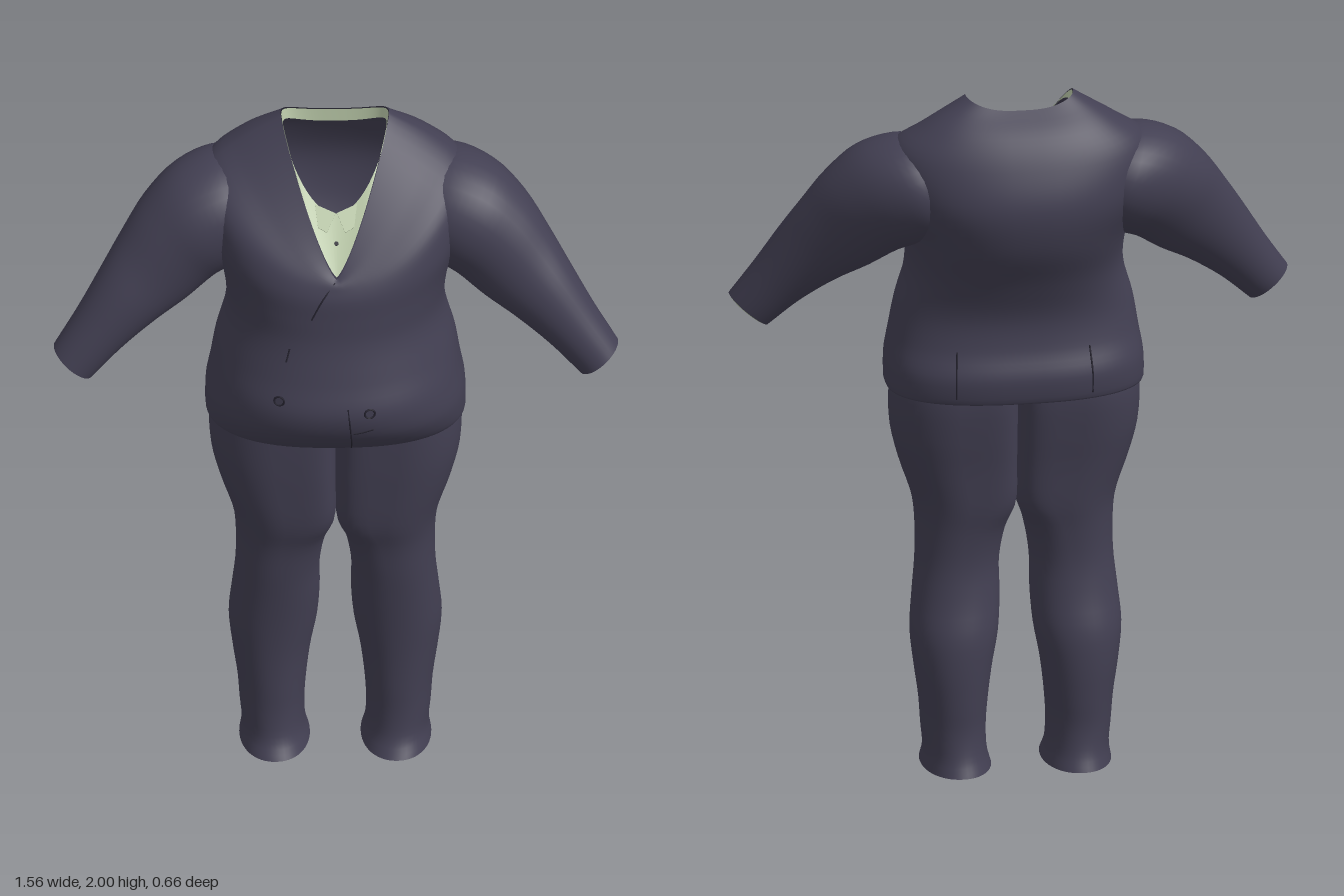
import * as THREE from 'three';

const suit = new THREE.MeshStandardMaterial({ color: 0x423f52, side: THREE.DoubleSide });
suit.name = 'dark suit cloth';
const linen = new THREE.MeshStandardMaterial({ color: 0xbccbaa, side: THREE.DoubleSide });
linen.name = 'pale green shirt';
const thread = new THREE.MeshStandardMaterial({ color: 0x25232f });
thread.name = 'dark seam';

const V = (x, y, z) => new THREE.Vector3(x, y, z);
const spow = (v, e) => Math.sign(v) * Math.pow(Math.abs(v), e);

function mesh(name, geometry, material) {
  const m = new THREE.Mesh(geometry, material);
  m.name = name;
  return m;
}

// Skin over closed rings of equal length
function loft(rings) {
  const n = rings[0].length, index = [];
  for (let i = 0; i < rings.length - 1; i++) {
    for (let j = 0; j < n; j++) {
      const k = (j + 1) % n, a = i * n + j, b = i * n + k;
      index.push(a, b, b + n, a, b + n, a + n);
    }
  }
  const g = new THREE.BufferGeometry().setFromPoints(rings.flat());
  g.setIndex(index);
  g.computeVertexNormals();
  return g;
}

// Smooth each column of the control rings with a spline
function smoothRings(rings, steps) {
  const columns = rings[0].map((_, j) => {
    const c = new THREE.CatmullRomCurve3(rings.map(r => r[j]), false, 'centripetal');
    return Array.from({ length: steps + 1 }, (_, i) => c.getPoint(i / steps));
  });
  return columns[0].map((_, i) => columns.map(c => c[i]));
}

const around = (n, f) => Array.from({ length: n }, (_, j) => f((j / n) * Math.PI * 2));

// Body ring: side/front/back heights, half width, middle/front/back z, front and back roundness
function bodyRing([ys, yf, yb, a, zc, zf, zb, ef, eb]) {
  return around(64, t => {
    const s = Math.sin(t), c = Math.cos(t), front = c >= 0, e = front ? ef : eb;
    const k = Math.pow(Math.abs(c), e);
    return V(a * spow(s, e), ys + ((front ? yf : yb) - ys) * c * c, zc + ((front ? zf : zb) - zc) * k);
  });
}

const neckline = [2.0, 1.66, 1.97, 0.15, -0.1, 0.22, -0.17, 1.5, 0.7];

function makeJacket() {
  const rings = [
    [1.145, 1.145, 1.145, 0.345, 0, 0.225, -0.205, 0.8, 0.8],
    [1.12, 1.12, 1.12, 0.357, 0, 0.24, -0.22, 0.8, 0.8],
    [1.19, 1.19, 1.19, 0.358, 0, 0.31, -0.23, 0.85, 0.8],
    [1.27, 1.27, 1.27, 0.345, 0, 0.332, -0.205, 0.9, 0.85],
    [1.36, 1.36, 1.36, 0.33, 0, 0.305, -0.2, 0.95, 0.9],
    [1.47, 1.47, 1.47, 0.302, 0, 0.272, -0.24, 0.95, 0.9],
    [1.57, 1.54, 1.6, 0.31, 0, 0.262, -0.305, 0.95, 0.9],
    [1.72, 1.6, 1.72, 0.36, -0.05, 0.255, -0.325, 1, 0.9],
    [1.85, 1.63, 1.83, 0.36, -0.08, 0.245, -0.29, 1.1, 0.9],
    [1.925, 1.65, 1.91, 0.27, -0.1, 0.235, -0.24, 1.3, 0.8],
    neckline,
  ].map(bodyRing);
  return mesh('jacketBody', loft(smoothRings(rings, 50)), suit);
}

// Shirt: fills the bottom of the V and lines the neck
function makeShirt() {
  const g = new THREE.Group();
  g.name = 'shirt';
  const edge = bodyRing([1.996, 1.665, 1.968, 0.148, -0.1, 0.215, -0.168, 1.5, 0.7]);
  const inner = bodyRing([1.965, 1.8, 1.93, 0.143, -0.1, 0.1, -0.168, 1, 0.7]);
  g.add(mesh('shirtFront', loft([inner, edge]), linen));

  // Collar points and a small button lying on the sloping shirt front
  const collar = new THREE.Group();
  collar.name = 'collar';
  collar.position.set(0, 1.8, 0.108);
  collar.rotation.x = -0.7;
  const flap = new THREE.Shape([[0.002, 0.005], [0.058, 0.03], [0.05, -0.035], [0.025, -0.05]].map(p => new THREE.Vector2(...p)));
  const flapGeo = new THREE.ExtrudeGeometry(flap, { depth: 0.007, bevelEnabled: false });
  for (const s of [1, -1]) {
    const f = mesh('collarPoint', flapGeo, linen);
    f.scale.x = s;
    collar.add(f);
  }
  const b = mesh('shirtButton', new THREE.CylinderGeometry(0.006, 0.006, 0.006, 12), thread);
  b.rotation.x = Math.PI / 2;
  b.position.set(0, -0.08, 0.006);
  collar.add(b);
  g.add(collar);
  return g;
}

// Sleeve: rings square to its path in the xy plane
function makeSleeve() {
  const g = new THREE.Group();
  g.name = 'sleeve';
  const stations = [
    [0.22, 1.765, -0.09, 0.12, 0.14],
    [0.29, 1.74, -0.08, 0.15, 0.17],
    [0.36, 1.705, -0.06, 0.162, 0.168],
    [0.43, 1.65, -0.035, 0.15, 0.145],
    [0.5, 1.575, 0.0, 0.132, 0.118],
    [0.57, 1.505, 0.035, 0.108, 0.1],
    [0.65, 1.415, 0.07, 0.084, 0.082],
    [0.725, 1.325, 0.1, 0.07, 0.07],
  ];
  const ring = ([x, y, z, ru, rw], dx, dy) => around(32, t =>
    V(x - dy * ru * Math.cos(t), y + dx * ru * Math.cos(t), z + rw * Math.sin(t)));
  const rings = stations.map((s, i) => {
    const p = stations[Math.max(i - 1, 0)], q = stations[Math.min(i + 1, stations.length - 1)];
    const d = new THREE.Vector2(q[0] - p[0], q[1] - p[1]).normalize();
    return ring(s, d.x, d.y);
  });
  g.add(mesh('sleeveCloth', loft(smoothRings(rings, 28)), suit));
  // Shirt cuff just inside the opening
  const d = new THREE.Vector2(0.64, -0.768);
  const cuff = [[0, 0.069], [0.003, 0.062], [-0.03, 0.058]].map(([o, r]) =>
    ring([0.725 + d.x * o, 1.325 + d.y * o, 0.1, r, r], d.x, d.y));
  g.add(mesh('shirtCuff', loft(cuff), linen));
  return g;
}

// Trouser leg: height, inner and outer x, front and back z, roundness of the inner half
function makeLeg() {
  const rings = [
    [0.005, 0.07, 0.265, 0.13, -0.185, 0.95],
    [0.05, 0.082, 0.258, 0.098, -0.165, 0.95],
    [0.12, 0.085, 0.264, 0.086, -0.155, 0.95],
    [0.2, 0.08, 0.27, 0.085, -0.16, 0.95],
    [0.3, 0.068, 0.284, 0.086, -0.165, 0.95],
    [0.4, 0.05, 0.294, 0.092, -0.16, 0.95],
    [0.5, 0.043, 0.286, 0.102, -0.135, 0.95],
    [0.6, 0.043, 0.276, 0.114, -0.12, 0.9],
    [0.7, 0.026, 0.275, 0.125, -0.125, 0.75],
    [0.78, 0.001, 0.283, 0.145, -0.138, 0.5],
    [0.9, 0.001, 0.322, 0.156, -0.152, 0.4],
    [1.0, 0.001, 0.345, 0.162, -0.168, 0.4],
    [1.12, 0.001, 0.346, 0.165, -0.18, 0.4],
    [1.22, 0.001, 0.32, 0.165, -0.165, 0.4],
  ].map(([y, xi, xo, zf, zb, ei]) => around(48, t => {
    const s = Math.sin(t), c = Math.cos(t), e = s < 0 ? ei : 0.95;
    return V((xi + xo) / 2 + (xo - xi) / 2 * spow(s, e), y, (zf + zb) / 2 + (zf - zb) / 2 * spow(c, e));
  }));
  return mesh('trouserLeg', loft(smoothRings(rings, 44)), suit);
}

// Seams and buttons laid on the jacket surface
function makeDetails(jacket) {
  const g = new THREE.Group();
  g.name = 'jacketDetails';
  jacket.updateMatrixWorld(true);
  const snap = (x, y, side) => {
    const hit = new THREE.Raycaster(V(x, y, side), V(0, 0, -side)).intersectObject(jacket)[0];
    return hit ? hit.point : V(x, y, side * 0.2);
  };
  const seams = [
    ['frontEdge', 1, [0.04, 1.13], [0.04, 1.18], [0.035, 1.25], [0.03, 1.3]],
    ['lapelFold', 1, [-0.07, 1.55], [-0.04, 1.61], [-0.005, 1.655]],
    ['breastPocket', 1, [-0.14, 1.415], [-0.135, 1.435], [-0.13, 1.455]],
    ['sidePocket', 1, [0.045, 1.215], [0.07, 1.22], [0.1, 1.228]],
    ['backVent', -1, [0.19, 1.14], [0.19, 1.2], [0.185, 1.27]],
    ['backVent', -1, [-0.19, 1.14], [-0.19, 1.2], [-0.185, 1.27]],
  ];
  for (const [name, side, ...pts] of seams) {
    const path = new THREE.CatmullRomCurve3(pts.map(p => snap(p[0], p[1], side)));
    g.add(mesh(name, new THREE.TubeGeometry(path, 12, 0.0025, 6), thread));
  }
  for (const [x, y] of [[0.09, 1.285], [-0.16, 1.31]]) {
    const rim = mesh('buttonRim', new THREE.TorusGeometry(0.014, 0.003, 6, 20), thread);
    const face = mesh('button', new THREE.CircleGeometry(0.014, 20), suit);
    const at = snap(x, y, 1);
    for (const m of [rim, face]) {
      m.position.copy(at).add(V(0, 0, 0.004));
      m.rotation.y = x * 1.8;
      g.add(m);
    }
  }
  return g;
}

export function createModel() {
  const model = new THREE.Group();
  model.name = 'suit';
  const jacket = makeJacket();
  model.add(jacket, makeShirt(), makeDetails(jacket));
  // Mirrored halves
  for (const [name, s] of [['left', 1], ['right', -1]]) {
    const half = new THREE.Group();
    half.name = name + 'Limbs';
    half.add(makeSleeve(), makeLeg());
    half.scale.x = s;
    model.add(half);
  }
  return model;
}
